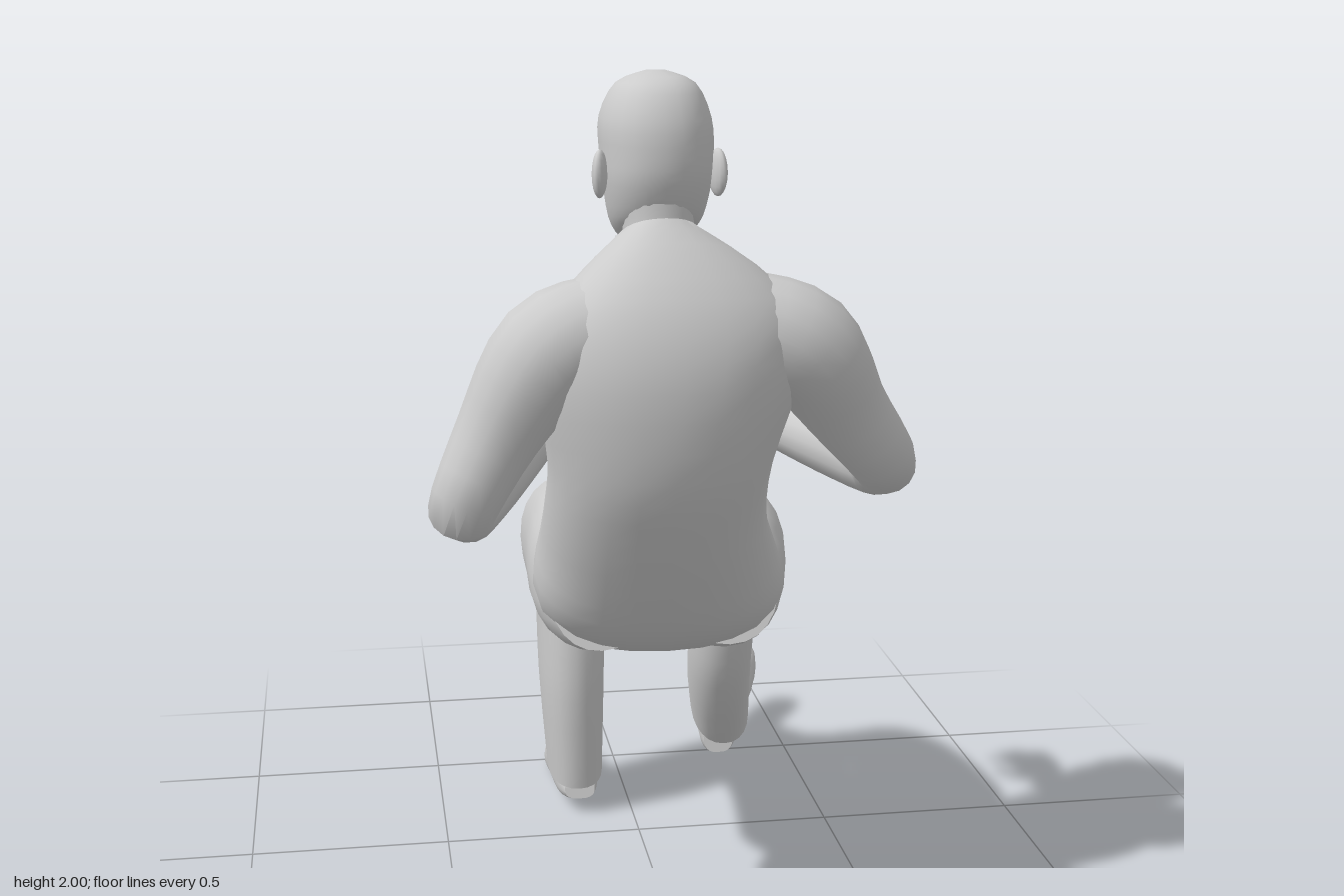
import * as THREE from 'three';
import { toCreasedNormals } from 'three/addons/utils/BufferGeometryUtils.js';

const V = (x, y, z) => new THREE.Vector3(x, y, z);

// Smooth interpolation of rows of numbers
function refine(rows, steps) {
  const out = [], last = rows.length - 1;
  for (let i = 0; i < last; i++) {
    const a = rows[Math.max(i - 1, 0)], b = rows[i], c = rows[i + 1], d = rows[Math.min(i + 2, last)];
    for (let s = 0; s < steps; s++) {
      const t = s / steps;
      out.push(b.map((p, k) => {
        const linear = c[k] - a[k];
        const square = 2 * a[k] - 5 * p + 4 * c[k] - d[k];
        const cube = 3 * (p - c[k]) + d[k] - a[k];
        return p + 0.5 * t * (linear + t * (square + t * cube));
      }));
    }
  }
  out.push(rows[last]);
  return out;
}

// Closed skin over rings of points, with capped ends, always facing outward
function skin(rings) {
  const n = rings[0].length, m = rings.length, pts = rings.flat(), idx = [];
  for (let i = 0; i < m - 1; i++) {
    for (let j = 0; j < n; j++) {
      const a = i * n + j, b = i * n + (j + 1) % n;
      idx.push(a, b, a + n, b, b + n, a + n);
    }
  }
  for (const end of [0, m - 1]) {
    const c = V(0, 0, 0);
    rings[end].forEach(p => c.addScaledVector(p, 1 / n));
    const k = pts.push(c) - 1;
    for (let j = 0; j < n; j++) {
      const a = end * n + j, b = end * n + (j + 1) % n;
      idx.push(...(end ? [a, b, k] : [b, a, k]));
    }
  }
  let volume = 0;
  for (let i = 0; i < idx.length; i += 3) {
    volume += pts[idx[i]].dot(V(0, 0, 0).crossVectors(pts[idx[i + 1]], pts[idx[i + 2]]));
  }
  if (volume < 0) idx.reverse();
  const g = new THREE.BufferGeometry().setFromPoints(pts);
  g.setIndex(idx);
  return toCreasedNormals(g, 0.9);
}

// Body section rows: xMin, xMax, back/under y and z, front/upper y and z
function loft(rows, power = 0.9, sides = 24) {
  const bend = v => Math.sign(v) * Math.abs(v) ** power;
  return skin(refine(rows, 3).map(([x0, x1, yb, zb, yf, zf]) => Array.from({ length: sides }, (_, j) => {
    const a = j / sides * Math.PI * 2, c = bend(Math.cos(a)), s = (bend(Math.sin(a)) + 1) / 2;
    return V((x0 + x1) / 2 + c * (x1 - x0) / 2, yb + (yf - yb) * s, zb + (zf - zb) * s);
  })));
}

// Tapered limb rows: x, y, z, radius; side is the normal of the bending plane
function limb(rows, side, sides = 16) {
  const r = refine(rows, 4);
  return skin(r.map(([x, y, z, rad], i) => {
    const p = r[Math.max(i - 1, 0)], q = r[Math.min(i + 1, r.length - 1)];
    const t = V(q[0] - p[0], q[1] - p[1], q[2] - p[2]).normalize();
    const u = V(0, 0, 0).crossVectors(t, side).normalize(), w = V(0, 0, 0).crossVectors(t, u);
    return Array.from({ length: sides }, (_, j) => {
      const a = j / sides * Math.PI * 2;
      return V(x, y, z).addScaledVector(u, rad * Math.cos(a)).addScaledVector(w, rad * Math.sin(a));
    });
  }));
}

export function createModel() {
  const root = new THREE.Group();
  root.name = 'seatedMan';
  const grey = new THREE.MeshStandardMaterial({ color: 0xcccccc });
  grey.name = 'plainGrey';
  const add = (name, geo, parent = root) => {
    const mesh = new THREE.Mesh(geo, grey);
    mesh.name = name;
    parent.add(mesh);
    return mesh;
  };

  // Torso, curving from collar to seat
  add('torso', loft([
    [-0.125, 0.045, 1.70, 0.645, 1.60, 0.42],
    [-0.21, 0.17, 1.62, 0.71, 1.54, 0.42],
    [-0.30, 0.27, 1.50, 0.775, 1.44, 0.41],
    [-0.31, 0.26, 1.35, 0.80, 1.31, 0.39],
    [-0.285, 0.215, 1.15, 0.77, 1.15, 0.31],
    [-0.285, 0.22, 1.00, 0.70, 1.04, 0.22],
    [-0.29, 0.26, 0.84, 0.60, 0.99, 0.17],
    [-0.30, 0.30, 0.70, 0.49, 0.90, 0.14],
    [-0.25, 0.27, 0.63, 0.36, 0.78, 0.15],
    [-0.16, 0.18, 0.635, 0.24, 0.70, 0.18]]));

  // Trouser legs
  add('rightLeg', loft([
    [-0.27, -0.03, 0.66, 0.42, 0.95, 0.32],
    [-0.305, 0.0, 0.63, 0.31, 1.00, 0.26],
    [-0.305, -0.02, 0.65, 0.17, 1.02, 0.16],
    [-0.30, -0.03, 0.67, 0.02, 0.975, -0.02],
    [-0.28, -0.04, 0.64, -0.07, 0.885, -0.24],
    [-0.25, -0.05, 0.60, -0.10, 0.77, -0.38],
    [-0.24, -0.06, 0.50, -0.09, 0.60, -0.385],
    [-0.235, -0.065, 0.33, -0.085, 0.38, -0.37],
    [-0.215, -0.07, 0.08, -0.11, 0.12, -0.355]]));
  add('leftLeg', loft([
    [0.03, 0.28, 0.66, 0.42, 0.95, 0.32],
    [0.0, 0.315, 0.62, 0.31, 1.00, 0.26],
    [0.02, 0.335, 0.64, 0.17, 0.99, 0.16],
    [0.08, 0.35, 0.63, 0.02, 0.93, -0.03],
    [0.14, 0.36, 0.60, -0.11, 0.84, -0.22],
    [0.18, 0.365, 0.56, -0.15, 0.73, -0.35],
    [0.185, 0.36, 0.46, -0.175, 0.56, -0.39],
    [0.19, 0.36, 0.33, -0.22, 0.39, -0.445],
    [0.205, 0.375, 0.19, -0.31, 0.29, -0.53],
    [0.23, 0.395, 0.05, -0.43, 0.21, -0.61]]));

  // Shoes
  add('rightShoe', loft([
    [-0.18, -0.10, 0.045, -0.125, 0.10, -0.14],
    [-0.20, -0.085, 0.03, -0.18, 0.14, -0.20],
    [-0.205, -0.08, 0.015, -0.32, 0.15, -0.31],
    [-0.205, -0.075, 0.005, -0.42, 0.095, -0.42],
    [-0.19, -0.08, 0.005, -0.50, 0.065, -0.50],
    [-0.155, -0.10, 0.02, -0.54, 0.04, -0.545]], 0.7));
  add('leftShoe', loft([
    [0.255, 0.34, 0.02, -0.44, 0.12, -0.46],
    [0.25, 0.37, 0.005, -0.50, 0.20, -0.58],
    [0.28, 0.41, 0.055, -0.58, 0.22, -0.65],
    [0.32, 0.455, 0.11, -0.68, 0.225, -0.73],
    [0.35, 0.465, 0.155, -0.75, 0.225, -0.775],
    [0.385, 0.44, 0.185, -0.79, 0.21, -0.80]], 0.7));

  // Sleeves
  add('leftArm', limb([
    [0.14, 1.46, 0.61, 0.12], [0.27, 1.41, 0.62, 0.125], [0.38, 1.26, 0.575, 0.095],
    [0.48, 1.12, 0.535, 0.075], [0.40, 1.13, 0.38, 0.075], [0.29, 1.15, 0.21, 0.058]], V(0.70, 0.61, -0.35)));
  add('rightArm', limb([
    [-0.16, 1.46, 0.61, 0.12], [-0.29, 1.41, 0.62, 0.125], [-0.40, 1.24, 0.62, 0.095],
    [-0.48, 1.075, 0.63, 0.075], [-0.40, 1.10, 0.48, 0.072], [-0.295, 1.15, 0.325, 0.055]], V(0.81, -0.45, 0.38)));

  // Hands: palm, four drooping fingers and an inner thumb
  for (const [name, inner, x, y, z, yaw] of [['leftHand', -1, 0.285, 1.155, 0.215, 0.22], ['rightHand', 1, -0.29, 1.15, 0.325, -0.62]]) {
    const hand = new THREE.Group();
    hand.name = name;
    hand.position.set(x, y, z);
    hand.rotation.y = yaw;
    root.add(hand);
    add('palm', loft([
      [-0.038, 0.038, -0.025, 0.03, 0.025, 0.03],
      [-0.05, 0.05, -0.015, -0.03, 0.035, -0.03],
      [-0.065, 0.065, 0.005, -0.08, 0.045, -0.08],
      [-0.06, 0.06, 0.01, -0.12, 0.04, -0.12]], 0.8, 16), hand);
    [0.195, 0.215, 0.21, 0.185].forEach((end, i) => {
      const fx = inner * (0.05 - i * 0.033);
      add('finger', limb([
        [fx, 0.025, -0.10, 0.014], [fx * 1.15, 0.025, -0.15, 0.014],
        [fx * 1.3, 0.005, -end + 0.02, 0.012], [fx * 1.35, -0.015, -end, 0.006]], V(1, 0, 0), 8), hand);
    });
    add('thumb', limb([
      [inner * 0.04, 0, -0.03, 0.018], [inner * 0.068, -0.01, -0.07, 0.016],
      [inner * 0.08, -0.025, -0.12, 0.008]], V(0, 1, 0), 8), hand);
  }

  // Head and neck
  add('head', loft([
    [-0.06, -0.02, 2.0, 0.52, 1.998, 0.48],
    [-0.125, 0.045, 1.975, 0.60, 1.97, 0.40],
    [-0.16, 0.08, 1.90, 0.643, 1.90, 0.345],
    [-0.16, 0.085, 1.82, 0.65, 1.83, 0.345],
    [-0.155, 0.08, 1.76, 0.64, 1.77, 0.37],
    [-0.14, 0.065, 1.70, 0.61, 1.67, 0.375],
    [-0.115, 0.04, 1.67, 0.57, 1.62, 0.40],
    [-0.08, 0.0, 1.65, 0.52, 1.60, 0.43]]));
  add('neck', loft([
    [-0.125, 0.045, 1.78, 0.625, 1.70, 0.45],
    [-0.115, 0.035, 1.66, 0.63, 1.61, 0.46],
    [-0.13, 0.05, 1.55, 0.66, 1.52, 0.46]]));

  // Face
  add('nose', loft([
    [-0.052, -0.028, 1.80, 0.39, 1.80, 0.362],
    [-0.058, -0.022, 1.74, 0.40, 1.74, 0.345],
    [-0.068, -0.012, 1.69, 0.40, 1.70, 0.328],
    [-0.055, -0.025, 1.675, 0.39, 1.68, 0.35]], 0.9, 12));
  const blob = (name, x, y, z, sx, sy, sz) => {
    const mesh = add(name, new THREE.SphereGeometry(1, 14, 10));
    mesh.position.set(x, y, z);
    mesh.scale.set(sx, sy, sz);
    return mesh;
  };
  blob('moustache', -0.04, 1.665, 0.382, 0.04, 0.012, 0.018);
  blob('lowerLip', -0.04, 1.643, 0.393, 0.025, 0.009, 0.014);
  for (const s of [-1, 1]) {
    blob('brow', -0.04 + s * 0.05, 1.805, 0.372, 0.04, 0.014, 0.02).rotation.y = -s * 0.35;
    blob('eye', -0.04 + s * 0.047, 1.775, 0.388, 0.02, 0.012, 0.016);
    blob('ear', -0.04 + s * 0.128, 1.785, 0.555, 0.016, 0.052, 0.032).rotation.y = s * 0.35;
  }

  // Shirt collar points
  const flap = new THREE.Shape([new THREE.Vector2(0, 0), new THREE.Vector2(0.075, 0.03), new THREE.Vector2(0.05, -0.10)]);
  const flapGeo = new THREE.ExtrudeGeometry(flap, { depth: 0.012, bevelEnabled: false });
  for (const turn of [-0.25, Math.PI + 0.25]) {
    const mesh = add('collarFlap', flapGeo);
    mesh.position.set(-0.04, 1.605, 0.41);
    mesh.rotation.set(0.12, turn, 0);
  }
  return root;
}
